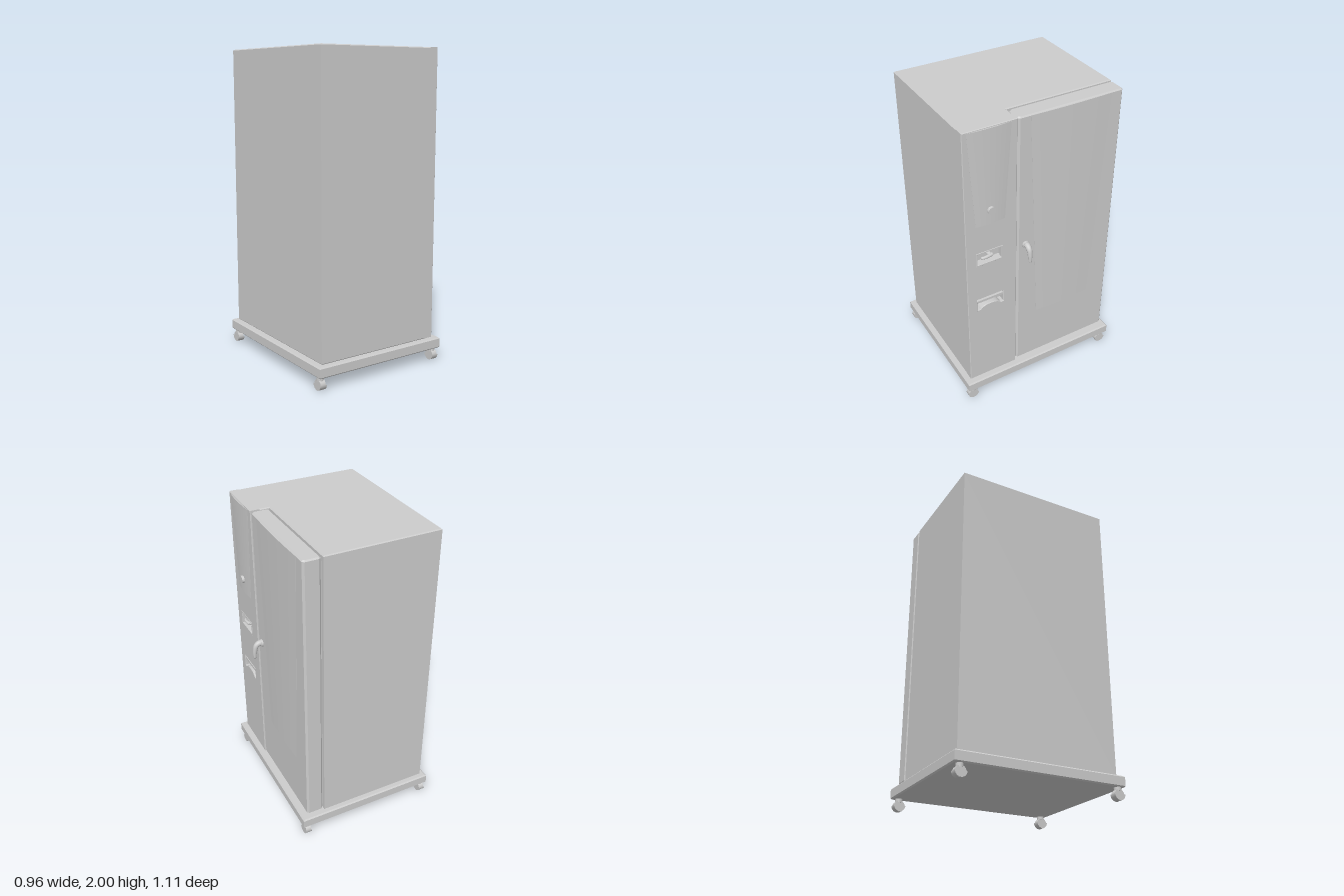
import * as THREE from 'three';

const mat = new THREE.MeshStandardMaterial({ color: 0xcccccc });

function add(parent, name, geo, x = 0, y = 0, z = 0) {
  const m = new THREE.Mesh(geo, mat);
  m.name = name;
  m.position.set(x, y, z);
  parent.add(m);
  return m;
}

const polygon = (pts) => new THREE.Shape(pts.map(([a, b]) => new THREE.Vector2(a, b)));

function extrude(shape, depth, bevel) {
  const g = new THREE.ExtrudeGeometry(shape, {
    depth: depth - 2 * bevel, bevelEnabled: bevel > 0, bevelSize: bevel, bevelOffset: -bevel,
    bevelThickness: bevel, bevelSegments: 1, curveSegments: 12,
  });
  return g.translate(0, 0, bevel);
}

// Plan outline [x, z] raised from y0 to y1
const upright = (plan, y0, y1, bevel) =>
  extrude(polygon(plan.map(([x, z]) => [x, -z])), y1 - y0, bevel).rotateX(-Math.PI / 2).translate(0, y0, 0);

// Outline drawn as (-z, y), pushed out along +x from x0 to x1
const sideways = (shape, x0, x1, bevel) => extrude(shape, x1 - x0, bevel).rotateY(Math.PI / 2).translate(x0, 0, 0);

const rectPlan = (x0, x1, z0, z1) => [[x0, z0], [x1, z0], [x1, z1], [x0, z1]];

// Tapered panel with a cross-curved face, standing on the plane x = x0
function bowedPanel(x0, rise, y0, y1, bottom, top) {
  const g = new THREE.BoxGeometry(2, 1, 1, 24, 1, 1);
  const p = g.attributes.position;
  for (let i = 0; i < p.count; i++) {
    const s = p.getX(i), t = p.getY(i) + 0.5, outer = p.getZ(i) > 0;
    const mid = THREE.MathUtils.lerp((bottom[0] + bottom[1]) / 2, (top[0] + top[1]) / 2, t);
    const half = THREE.MathUtils.lerp(bottom[1] - bottom[0], top[1] - top[0], t) / 2;
    p.setXYZ(i, x0 + (outer ? 0.001 + rise * (1 - s * s) : -0.004), y0 + t * (y1 - y0), mid - s * half);
  }
  g.computeVertexNormals();
  return g;
}

// Tube swept along a curve with a radius that changes along its length, closed by round-off at both ends
function taperedTube(points, radiusAt, squash = 1) {
  const curve = new THREE.CatmullRomCurve3(points.map((q) => new THREE.Vector3(...q)));
  const rows = 28, sides = 14;
  const g = new THREE.TubeGeometry(curve, rows, 1, sides, false);
  const p = g.attributes.position, v = new THREE.Vector3();
  for (let i = 0; i < p.count; i++) {
    const t = Math.floor(i / (sides + 1)) / rows;
    const c = curve.getPointAt(t);
    const round = Math.sqrt(Math.max(0, 1 - Math.pow(Math.max(0, (t - 0.93) / 0.07), 2)));
    v.fromBufferAttribute(p, i).sub(c).multiplyScalar(radiusAt(t) * round);
    p.setXYZ(i, c.x + v.x * squash, c.y + v.y * squash, c.z + v.z);
  }
  g.computeVertexNormals();
  return g;
}

export function createModel() {
  const model = new THREE.Group();
  model.name = 'cabinet';

  // Wheeled base
  add(model, 'basePlatform', upright(rectPlan(-0.48, 0.457, -0.555, 0.555), 0.08, 0.15, 0.008));
  for (const x of [-0.452, 0.42]) {
    for (const z of [-0.512, 0.515]) {
      const caster = new THREE.Group();
      caster.name = 'caster';
      caster.position.set(x, 0, z);
      model.add(caster);
      add(caster, 'wheel', new THREE.CylinderGeometry(0.034, 0.034, 0.036, 24).rotateZ(Math.PI / 2), 0, 0.034, 0);
      add(caster, 'hood', new THREE.CylinderGeometry(0.037, 0.037, 0.046, 24, 1, false, Math.PI / 2, Math.PI)
        .rotateZ(Math.PI / 2).rotateX(-Math.PI / 2), 0, 0.038, 0).geometry.rotateX(0);
      add(caster, 'stem', new THREE.CylinderGeometry(0.022, 0.022, 0.03, 16), 0, 0.072, 0);
    }
  }

  // Main housing with a corner left free for the door
  add(model, 'housing', upright(
    [[-0.443, -0.525], [0.295, -0.525], [0.295, 0.18], [0.37, 0.18], [0.37, 0.52], [-0.443, 0.52]],
    0.15, 2, 0.006));

  // Control column with two pockets cut through its face
  const face = polygon([[-0.52, 0.152], [-0.18, 0.152], [-0.18, 2], [-0.52, 2]]);
  const latchHole = polygon([[-0.452, 1.09], [-0.452, 1.178], [-0.278, 1.178], [-0.278, 1.09]]);
  const gripShape = () => {
    const s = new THREE.Shape();
    s.moveTo(-0.455, 0.822);
    s.lineTo(-0.272, 0.822);
    s.lineTo(-0.272, 0.738);
    s.lineTo(-0.292, 0.738);
    s.quadraticCurveTo(-0.31, 0.764, -0.363, 0.764);
    s.quadraticCurveTo(-0.417, 0.764, -0.435, 0.738);
    s.lineTo(-0.455, 0.738);
    s.closePath();
    return s;
  };
  face.holes.push(latchHole, gripShape());
  add(model, 'controlColumn', sideways(face, 0.355, 0.418, 0.004));

  // Latch pocket: raised rim and small lever
  const rim = polygon([[-0.456, 1.085], [-0.274, 1.085], [-0.274, 1.182], [-0.456, 1.182]]);
  rim.holes.push(polygon([[-0.446, 1.095], [-0.446, 1.172], [-0.284, 1.172], [-0.284, 1.095]]));
  add(model, 'latchRim', sideways(rim, 0.39, 0.42, 0.002));
  add(model, 'latchHub', new THREE.CylinderGeometry(0.013, 0.016, 0.04, 20).rotateZ(-Math.PI / 2), 0.388, 1.132, 0.355);
  add(model, 'latchLever', taperedTube(
    [[0.405, 1.132, 0.343], [0.412, 1.132, 0.37], [0.414, 1.132, 0.395], [0.41, 1.132, 0.42]],
    (t) => 0.015 - 0.004 * t, 0.8));

  // Grip pocket crossbar
  add(model, 'gripBar', new THREE.BoxGeometry(0.034, 0.016, 0.184), 0.396, 0.797, 0.3635);

  // Bowed control panel and knob
  add(model, 'controlPanel', bowedPanel(0.418, 0.007, 1.375, 1.992, [0.26, 0.452], [0.218, 0.492]));
  add(model, 'knob', new THREE.CylinderGeometry(0.024, 0.025, 0.024, 28).rotateZ(-Math.PI / 2), 0.43, 1.47, 0.355);

  // Door with chamfered corners, sealed to the housing by an inset gasket
  const c = 0.012, x0 = 0.305, x1 = 0.415, z0 = -0.525, z1 = 0.173;
  add(model, 'door', upright(
    [[x0 + c, z0], [x1 - c, z0], [x1, z0 + c], [x1, z1 - c], [x1 - c, z1], [x0 + c, z1], [x0, z1 - c], [x0, z0 + c]],
    0.163, 1.997, 0.008));
  add(model, 'doorGasket', new THREE.BoxGeometry(0.03, 1.79, 0.65), 0.302, 1.08, -0.175);
  add(model, 'doorWindow', bowedPanel(0.415, 0.006, 0.538, 1.99, [-0.375, 0.026], [-0.445, 0.095]));

  // Hooked door handle
  add(model, 'doorHandle', taperedTube(
    [[0.41, 1.122, 0.115], [0.438, 1.125, 0.115], [0.457, 1.112, 0.115], [0.468, 1.075, 0.115], [0.472, 1.018, 0.115]],
    (t) => 0.021 - 0.011 * t));
  add(model, 'handleCollar', new THREE.CylinderGeometry(0.024, 0.024, 0.018, 24).rotateZ(-Math.PI / 2), 0.42, 1.122, 0.115);

  return model;
}
